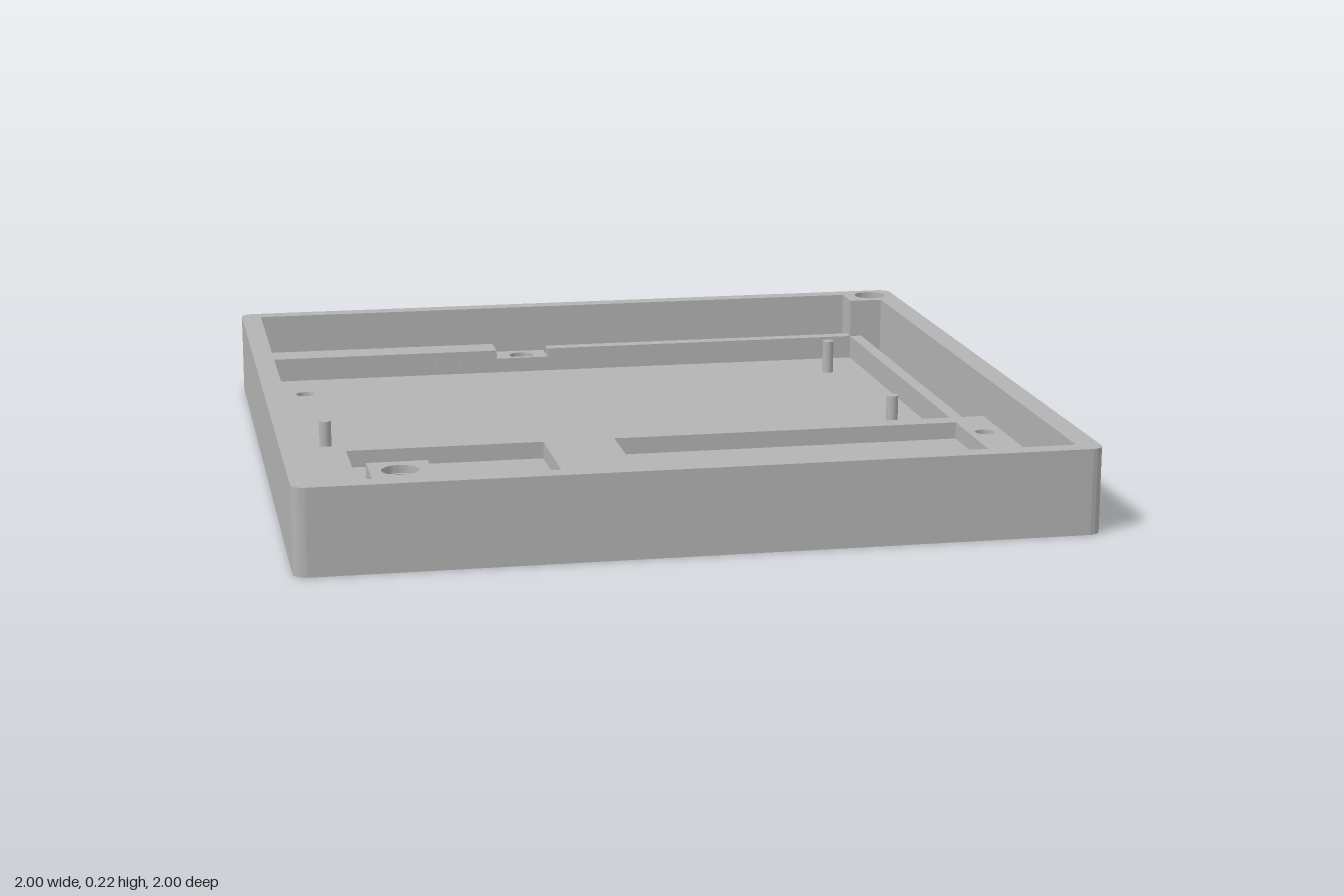
import * as THREE from 'three';
import { toCreasedNormals } from 'three/addons/utils/BufferGeometryUtils.js';

// Plan coordinates are (x, z); shapes are drawn at (x, -z) and extruded upward.
const poly = (pts) => new THREE.Path(pts.map(([x, z]) => new THREE.Vector2(x, -z)));
const rect = (x0, z0, x1, z1) => poly([[x0, z0], [x1, z0], [x1, z1], [x0, z1]]);
const circle = (x, z, r) => new THREE.Path().absarc(x, -z, r, 0, Math.PI * 2, false);

function outline() {
  const s = new THREE.Shape(), r = 0.035, k = 1 - r;
  s.absarc(k, k, r, 0, Math.PI / 2, false);
  s.absarc(-k, k, r, Math.PI / 2, Math.PI, false);
  s.absarc(-k, -k, r, Math.PI, Math.PI * 1.5, false);
  s.absarc(k, -k, r, Math.PI * 1.5, Math.PI * 2, false);
  s.closePath();
  return s;
}

export function createModel() {
  const group = new THREE.Group();
  const grey = new THREE.MeshStandardMaterial({ color: 0xb3b3b3 });
  grey.name = 'grey plastic';

  const add = (name, geometry) => {
    const mesh = new THREE.Mesh(geometry, grey);
    mesh.name = name;
    group.add(mesh);
    return mesh;
  };

  // One horizontal slice of the tray, with its openings
  const layer = (name, y0, y1, holes) => {
    const shape = outline();
    shape.holes.push(...holes);
    const g = new THREE.ExtrudeGeometry(shape, { depth: y1 - y0, bevelEnabled: false, curveSegments: 16 });
    g.rotateX(-Math.PI / 2);
    g.translate(0, y0, 0);
    add(name, toCreasedNormals(g, 0.6));
  };

  // Openings
  const backSlot = rect(-0.095, -0.95, 0.845, -0.895);
  const sideSlot = rect(0.88, -0.855, 0.94, 0.2);
  const mountHoles = [circle(0.89, 0.37, 0.025), circle(-0.9, 0.9, 0.025)];
  const boardHole = circle(-0.84, -0.68, 0.025);
  const backScrew = circle(-0.17, -0.89, 0.036);
  const frontScrew = circle(-0.17, 0.845, 0.036);
  const vent = circle(0.375, 0.605, 0.092);
  const boardPocket = rect(-0.945, -0.855, 0.845, 0.2);
  const smallPocket = rect(-0.805, 0.255, -0.285, 0.78);
  const largePocket = rect(-0.095, 0.255, 0.845, 0.95);
  // Board pocket joined to the back slot through the screw notch
  const notchedPocket = poly([
    [-0.945, -0.855], [-0.25, -0.855], [-0.25, -0.95], [0.845, -0.95], [0.845, -0.895],
    [-0.095, -0.895], [-0.095, -0.855], [0.845, -0.855], [0.845, 0.2], [-0.945, 0.2],
  ]);
  // Open interior, leaving two corner bosses joined to the wall
  const interior = poly([
    [-0.945, -0.95], [0.845, -0.95], [0.845, -0.855], [0.94, -0.855], [0.94, 0.95],
    [-0.655, 0.95], [-0.655, 0.8], [-0.805, 0.8], [-0.805, 0.95], [-0.945, 0.95],
  ]);
  const bossHoles = (r) => [circle(0.925, -0.93, r), circle(-0.73, 0.88, r)];

  const floorY = 0.043, pocketY = 0.065, notchY = 0.085, ledgeY = 0.11, topY = 0.22;
  layer('floor', 0, floorY, [backSlot, sideSlot, ...mountHoles, boardHole, backScrew, frontScrew, vent]);
  layer('lowerLedge', floorY, pocketY, [backSlot, sideSlot, ...mountHoles, boardPocket, backScrew, frontScrew, vent]);
  layer('pocketLedge', pocketY, notchY,
    [backSlot, sideSlot, ...mountHoles, boardPocket, backScrew, frontScrew, smallPocket, largePocket]);
  layer('upperLedge', notchY, ledgeY,
    [notchedPocket, sideSlot, ...mountHoles, circle(-0.17, 0.845, 0.06), smallPocket, largePocket]);
  layer('outerWall', ledgeY, topY - 0.02, [interior, ...bossHoles(0.037)]);
  layer('wallRim', topY - 0.02, topY, [interior, ...bossHoles(0.046)]);

  // Board locating pegs
  for (const [x, z] of [[0.73, -0.68], [-0.84, 0.03], [0.73, 0.03]]) {
    const height = 0.138 - floorY;
    add('boardPeg', new THREE.CylinderGeometry(0.016, 0.016, height, 20))
      .position.set(x, floorY + height / 2, z);
  }
  return group;
}
